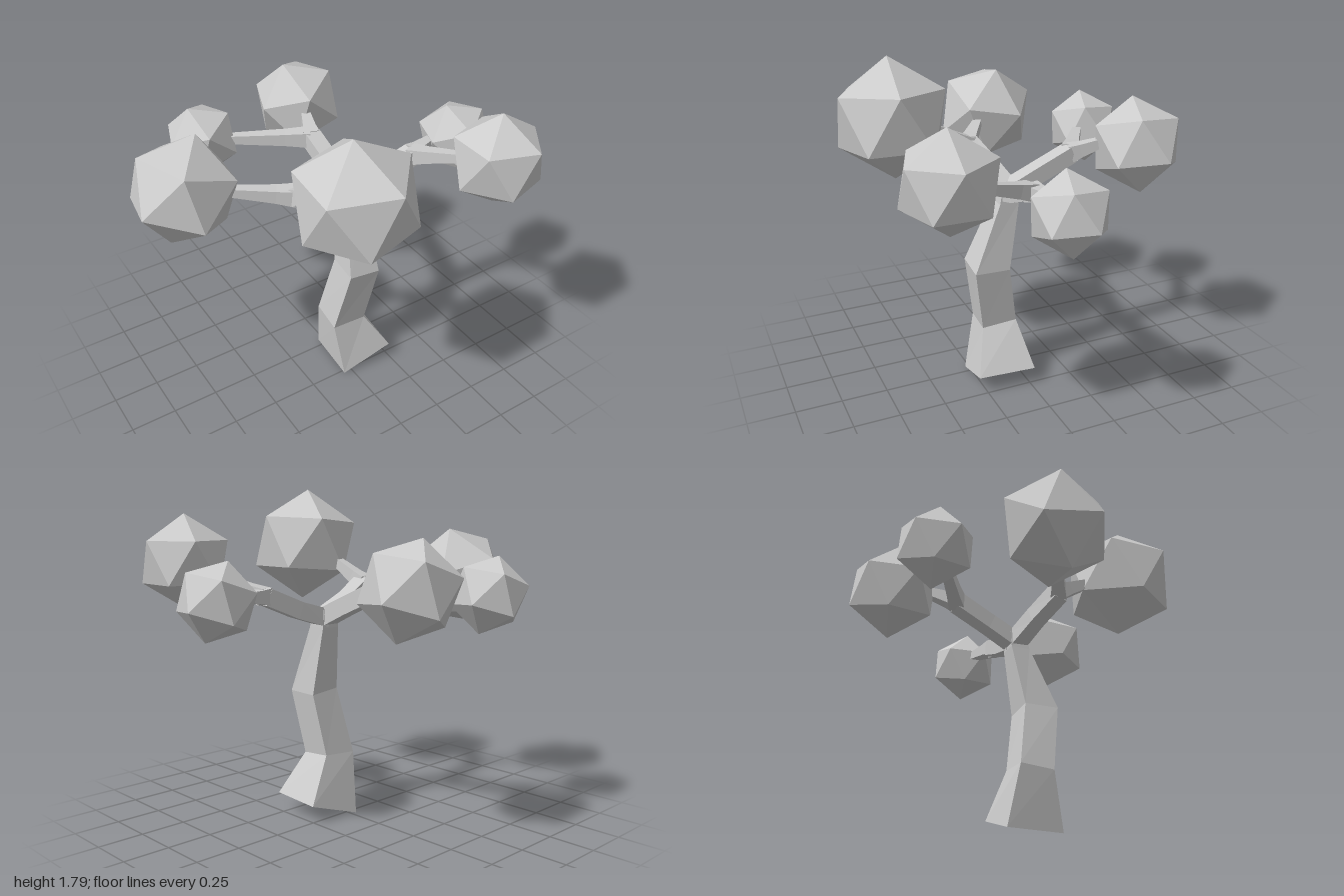
import * as THREE from 'three';

const V = (x, y, z) => new THREE.Vector3(x, y, z);
const material = new THREE.MeshStandardMaterial({ color: 0xcccccc, flatShading: true });

function addMesh(group, geometry, name) {
  const mesh = new THREE.Mesh(geometry, material);
  mesh.name = name;
  group.add(mesh);
}

// Skin a stack of four-cornered rings (counter-clockwise about the growing direction), capped
function loft(rings) {
  const pos = [];
  const quad = (a, b, c, d) => [a, b, c, a, c, d].forEach(p => pos.push(p.x, p.y, p.z));
  for (let r = 0; r + 1 < rings.length; r++) {
    const lo = rings[r], hi = rings[r + 1];
    for (let i = 0; i < 4; i++) {
      const j = (i + 1) % 4;
      quad(lo[i], lo[j], hi[j], hi[i]);
    }
  }
  quad(...[...rings[0]].reverse());
  quad(...rings[rings.length - 1]);
  const geometry = new THREE.BufferGeometry();
  geometry.setAttribute('position', new THREE.Float32BufferAttribute(pos, 3));
  geometry.computeVertexNormals();
  return geometry;
}

// Square limb through points, with one width per point
function limb(points, widths) {
  return loft(points.map((p, i) => {
    const dir = points[Math.min(i + 1, points.length - 1)].clone()
      .sub(points[Math.max(i - 1, 0)]).normalize();
    const u = dir.clone().cross(V(0, 1, 0)).normalize();
    const v = dir.clone().cross(u);
    const h = widths[i] / 2;
    return [[-1, -1], [1, -1], [1, 1], [-1, 1]].map(([a, b]) =>
      p.clone().addScaledVector(u, a * h).addScaledVector(v, b * h));
  }));
}

function basis(a, b) {
  const x = a.clone().normalize();
  const z = x.clone().cross(b).normalize();
  return new THREE.Matrix4().makeBasis(x, z.clone().cross(x), z);
}

// Icosahedron turned so one corner lies at top (x, z offset) and a neighbouring corner at side
function foliage([cx, cy, cz], r, [ax, az], [bx, bz]) {
  const a = V(ax, Math.sqrt(r * r - ax * ax - az * az), az);
  const b = V(bx, (r * r / Math.sqrt(5) - ax * bx - az * bz) / a.y, bz);
  const t = (1 + Math.sqrt(5)) / 2;
  const turn = basis(a, b).multiply(basis(V(-1, t, 0), V(1, t, 0)).transpose());
  return new THREE.IcosahedronGeometry(r, 0).applyMatrix4(turn).translate(cx, cy, cz);
}

export function createModel() {
  const tree = new THREE.Group();
  tree.name = 'tree';

  // Crooked trunk: front left, front right, back right, back left corners of each ring
  const trunk = [
    [[-0.05, 0, 0.27], [0.245, 0.10, 0.295], [0.27, 0.10, -0.02], [-0.03, 0, -0.045]],
    [[-0.08, 0.32, 0.205], [0.11, 0.325, 0.22], [0.125, 0.345, 0.03], [-0.065, 0.335, 0.015]],
    [[-0.02, 0.70, 0.27], [0.16, 0.68, 0.275], [0.17, 0.68, 0.085], [0, 0.70, 0.08]],
    [[0.04, 1.05, 0.13], [0.148, 1.05, 0.13], [0.15, 1.05, 0.025], [0.045, 1.05, 0.02]],
    [[0.05, 1.145, 0.11], [0.145, 1.155, 0.11], [0.145, 1.16, 0.015], [0.05, 1.15, 0.015]],
  ];
  addMesh(tree, loft(trunk.map(ring => ring.map(p => V(...p)))), 'trunk');

  // Three branches, each forking into two twigs
  const branches = [
    { name: 'rightBranch', mid: [-0.10, 1.18, 0.095], fork: [-0.27, 1.26, 0.14],
      twigs: [[-0.55, 1.29, -0.03], [-0.245, 1.39, 0.36]] },
    { name: 'leftBranch', mid: [0.28, 1.155, 0.085], fork: [0.47, 1.235, 0.11],
      twigs: [[0.65, 1.245, 0.06], [0.58, 1.33, 0.40]] },
    { name: 'backBranch', mid: [0.095, 1.175, -0.10], fork: [0.09, 1.26, -0.30],
      twigs: [[0.155, 1.32, -0.47], [-0.30, 1.25, -0.55]] },
  ];
  for (const { name, mid, fork, twigs } of branches) {
    const end = V(...fork);
    addMesh(tree, limb([V(0.097, 1.10, 0.065), V(...mid), end], [0.095, 0.09, 0.09]), name);
    for (const tip of twigs) {
      const target = V(...tip);
      const near = end.clone().lerp(target, 0.3);
      addMesh(tree, limb([end, near, target], [0.09, 0.07, 0.045]), name + 'Twig');
    }
  }

  // Foliage clumps: centre, radius, top corner, neighbouring corner
  const clumps = [
    [[-0.739, 1.297, -0.157], 0.29, [0.105, -0.027], [0.262, -0.11]],
    [[-0.215, 1.47, 0.58], 0.32, [-0.025, 0], [0.265, 0.025]],
    [[0.632, 1.40, 0.58], 0.253, [0, 0], [0.226, 0.005]],
    [[0.797, 1.235, 0.07], 0.206, [-0.065, -0.01], [-0.193, 0.05]],
    [[0.205, 1.297, -0.637], 0.258, [-0.08, -0.01], [-0.24, 0.053]],
    [[-0.403, 1.238, -0.64], 0.21, [-0.065, -0.01], [-0.193, 0.045]],
  ];
  clumps.forEach(c => addMesh(tree, foliage(...c), 'foliage'));
  return tree;
}
